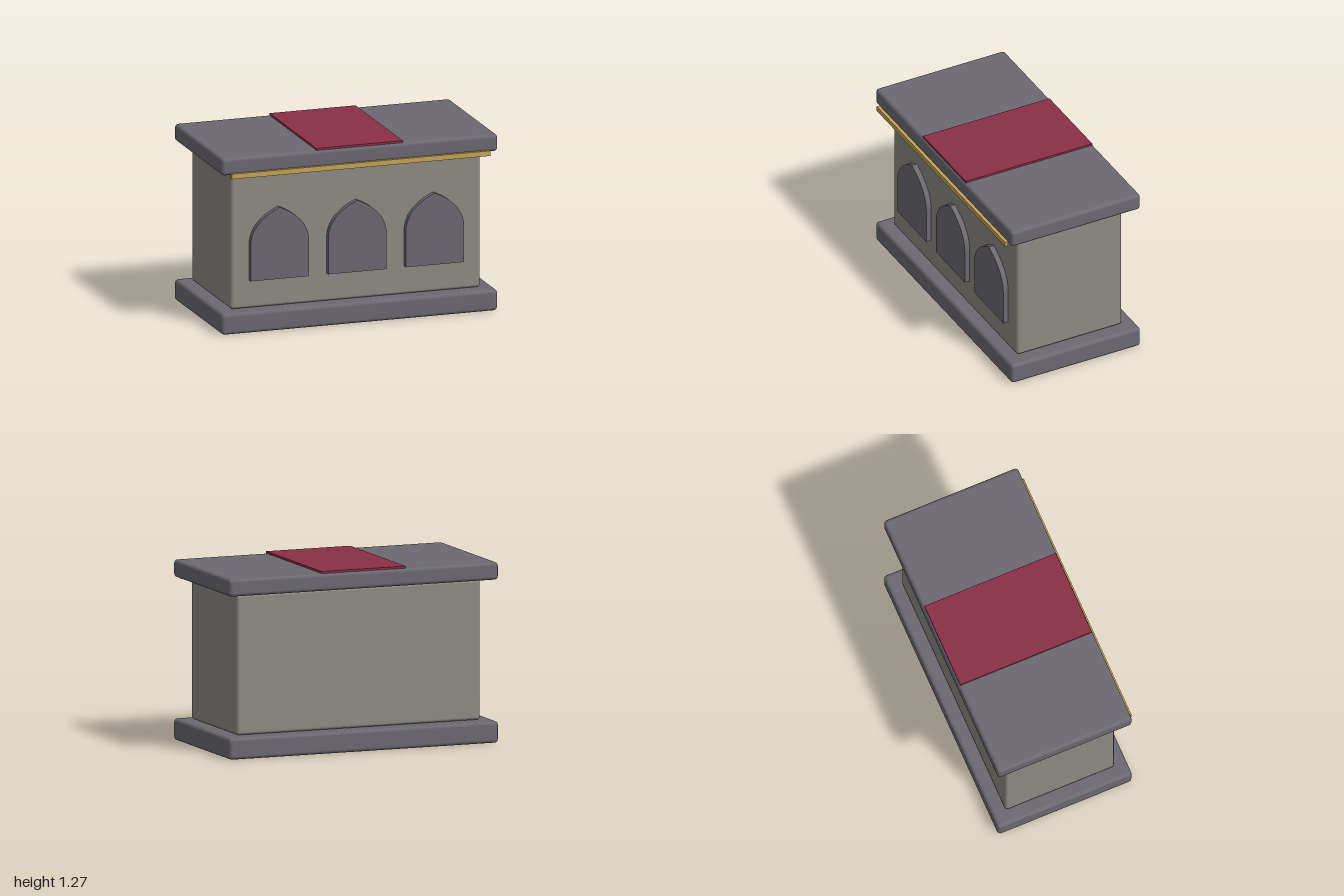
import * as THREE from 'three';
import { RoundedBoxGeometry } from 'three/addons/geometries/RoundedBoxGeometry.js';

const material = (color) => new THREE.MeshStandardMaterial({ color });

export function createModel() {
  const altar = new THREE.Group();
  altar.name = 'altar';

  const darkStone = material(0x6b6970);
  const paleStone = material(0x8c8a83);
  const gold = material(0xc4a558);
  const cloth = material(0x8c2f48);

  const add = (name, geometry, mat, x, y, z) => {
    const mesh = new THREE.Mesh(geometry, mat);
    mesh.name = name;
    mesh.position.set(x, y, z);
    altar.add(mesh);
  };

  // Stone blocks with softened edges
  add('plinth', new RoundedBoxGeometry(2, 0.15, 1, 3, 0.025), darkStone, 0, 0.075, -0.01);
  add('body', new RoundedBoxGeometry(1.81, 0.975, 0.813, 3, 0.022), paleStone, 0, 0.6395, -0.0075);
  add('topSlab', new RoundedBoxGeometry(2, 0.122, 1, 3, 0.025), darkStone, 0, 1.191, -0.01);

  // Cloth runner and gilded strip under the slab's front edge
  add('clothRunner', new THREE.BoxGeometry(0.625, 0.015, 0.98), cloth, 0, 1.2585, -0.0075);
  add('goldTrim', new THREE.BoxGeometry(1.875, 0.036, 0.025), gold, 0, 1.127, 0.4985);

  // Pointed arch panels on the front
  const half = 0.2115, spring = 0.25, apex = 0.507;
  const arch = new THREE.Shape();
  arch.moveTo(-half, 0);
  arch.lineTo(half, 0);
  arch.lineTo(half, spring);
  arch.quadraticCurveTo(half, 0.415, 0, apex);
  arch.quadraticCurveTo(-half, 0.415, -half, spring);
  arch.closePath();
  const archGeometry = new THREE.ExtrudeGeometry(arch, {
    depth: 0.038, bevelEnabled: false, curveSegments: 12,
  });
  for (const [name, x] of [['rightArch', -0.5625], ['middleArch', 0], ['leftArch', 0.5625]]) {
    add(name, archGeometry, darkStone, x, 0.352, 0.399);
  }

  return altar;
}
